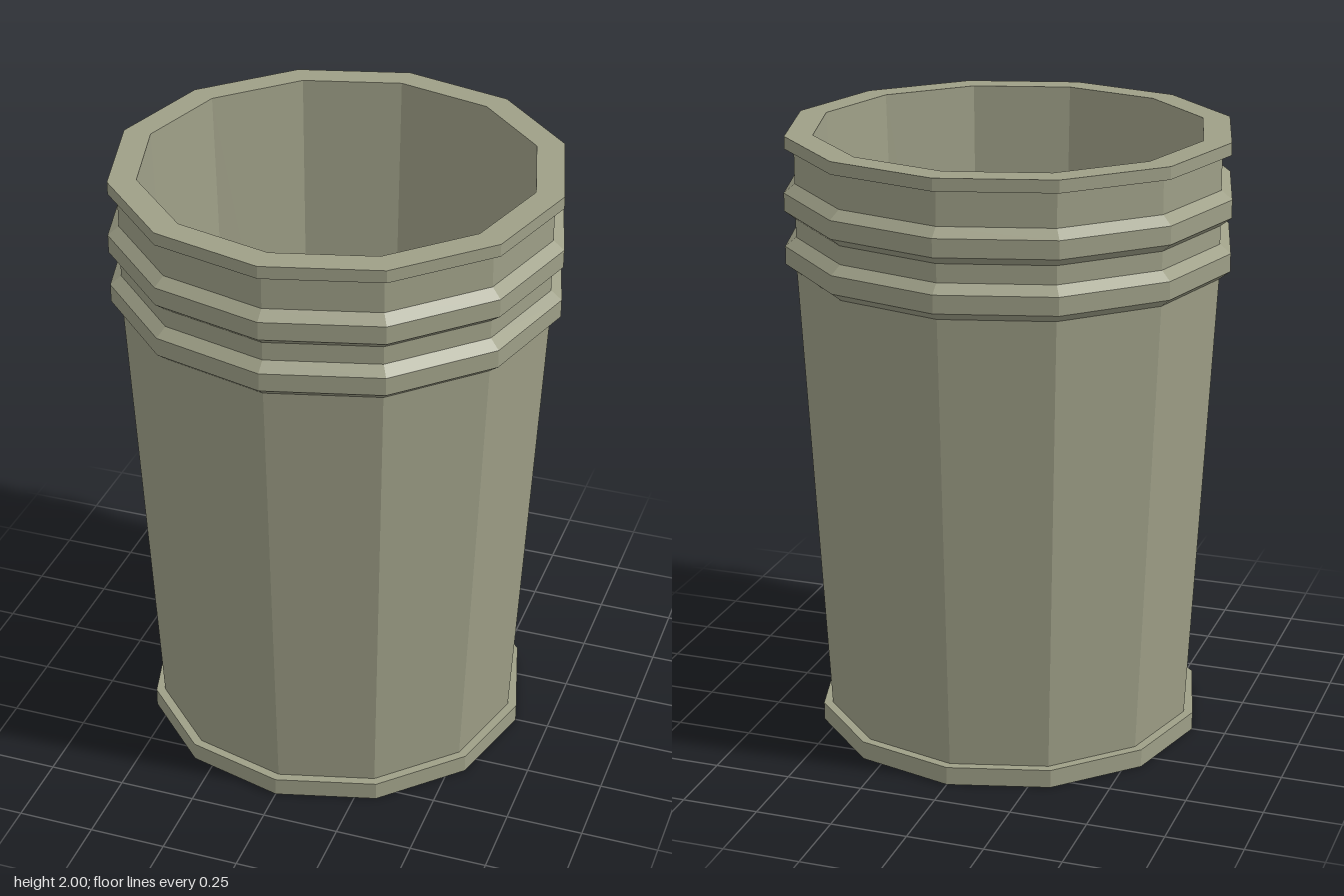
import * as THREE from 'three';

const SIDES = 12;
const NECK = 0.688;

export function createModel() {
  const group = new THREE.Group();
  group.name = 'ribbedCup';
  const material = new THREE.MeshStandardMaterial({ color: 0x9e9f87, flatShading: true });

  // Each part is one stretch of the cup's profile, given as [radius, height]
  const addPart = (name, profile) => {
    const points = profile.map(([r, y]) => new THREE.Vector2(r, y));
    const mesh = new THREE.Mesh(new THREE.LatheGeometry(points, SIDES), material);
    mesh.name = name;
    group.add(mesh);
  };

  // Underside and foot band
  addPart('foot', [[0, 0], [0.638, 0], [0.638, 0.06], [0.608, 0.06]]);

  // Tapered wall
  addPart('body', [[0.608, 0.06], [NECK, 1.563]]);

  // Two bevelled ridges
  const ridgeStarts = [1.563, 1.735];
  ridgeStarts.forEach((y, i) => addPart(`ridge${i + 1}`, [
    [NECK, y], [0.723, y + 0.027], [0.723, y + 0.085], [NECK, y + 0.113],
  ]));

  // Straight neck bands above each ridge
  addPart('lowerNeck', [[NECK, 1.676], [NECK, 1.735]]);
  addPart('upperNeck', [[NECK, 1.848], [NECK, 1.96]]);

  // Flat-topped rim
  addPart('rim', [[NECK, 1.96], [0.717, 1.96], [0.717, 2], [0.627, 2]]);

  // Hollow inside with its floor
  addPart('inside', [[0.627, 2], [0.552, 0.06], [0, 0.06]]);

  return group;
}
